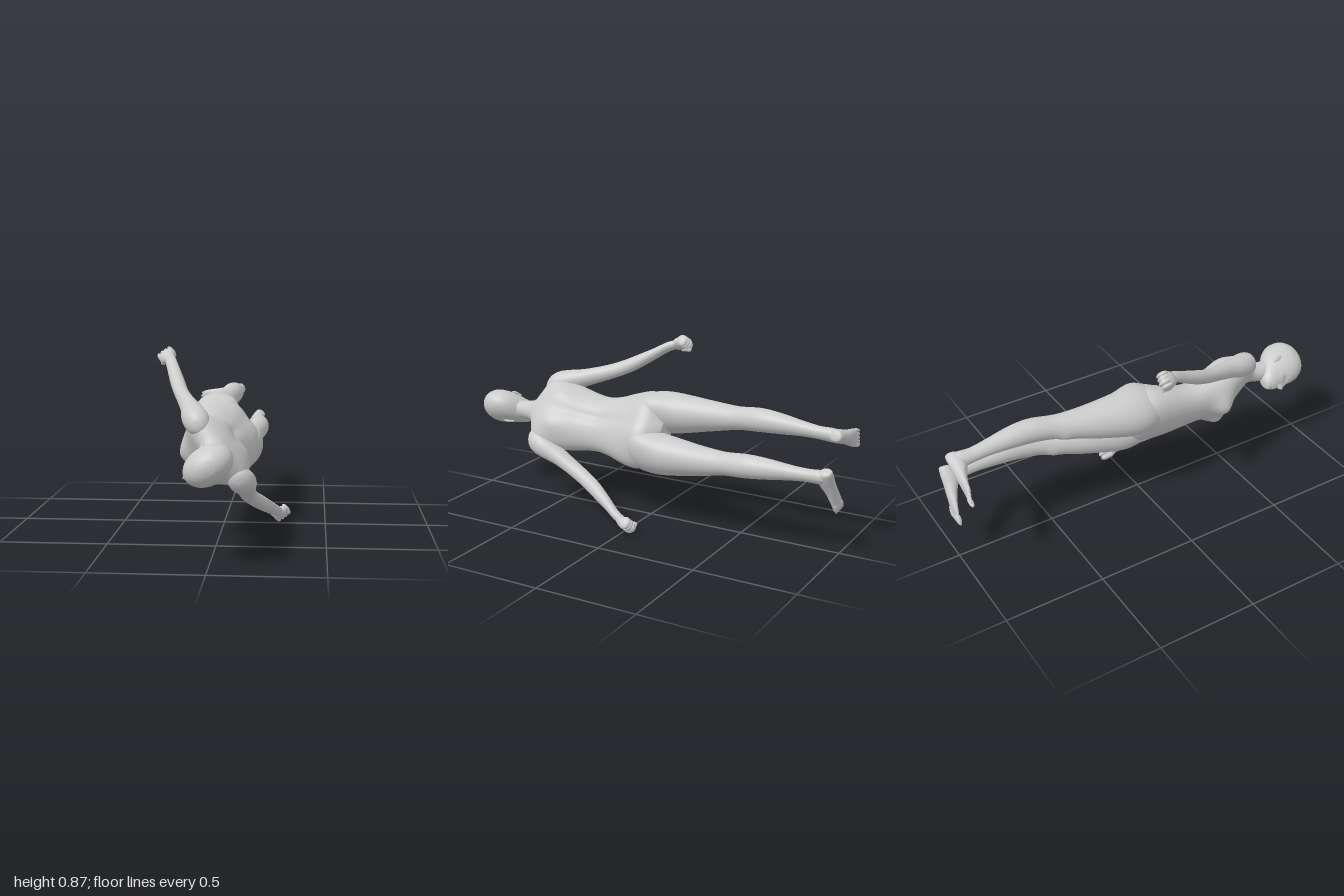
import * as THREE from 'three';

const material = new THREE.MeshStandardMaterial({ color: 0xcccccc, side: THREE.DoubleSide });

// Smooth skin through elliptical rings [x, y, z, halfWidth, halfDepth], listed by rising y.
// Bumps [x, y, side, amount, widthX, widthY] push the front (+1) or back (-1) in or out.
function loft(name, rings, bumps = [], steps = 6, sides = 40) {
  const centre = new THREE.CatmullRomCurve3(rings.map(r => new THREE.Vector3(r[0], r[1], r[2])), false, 'catmullrom');
  const size = new THREE.CatmullRomCurve3(rings.map(r => new THREE.Vector3(r[3], r[4], 0)), false, 'catmullrom');
  const n = (rings.length - 1) * steps;
  const pos = [], index = [];
  for (let i = 0; i <= n; i++) {
    const c = centre.getPoint(i / n), s = size.getPoint(i / n);
    for (let j = 0; j < sides; j++) {
      const t = (j / sides) * Math.PI * 2;
      const x = c.x + s.x * Math.cos(t);
      let z = c.z + s.y * Math.sin(t);
      for (const [bx, by, side, amount, wx, wy] of bumps) {
        const facing = Math.max(0, side * Math.sin(t)) ** 0.7;
        z += side * amount * facing * Math.exp(-(((x - bx) / wx) ** 2) - ((c.y - by) / wy) ** 2);
      }
      pos.push(x, c.y, z);
      if (i < n) {
        const a = i * sides + j, b = i * sides + (j + 1) % sides;
        index.push(a, a + sides, b, b, a + sides, b + sides);
      }
    }
  }
  // end caps
  const low = pos.length / 3, high = low + 1, last = n * sides;
  pos.push(...rings[0].slice(0, 3), ...rings[rings.length - 1].slice(0, 3));
  for (let j = 0; j < sides; j++) {
    const k = (j + 1) % sides;
    index.push(low, j, k, high, last + k, last + j);
  }
  const geo = new THREE.BufferGeometry();
  geo.setAttribute('position', new THREE.Float32BufferAttribute(pos, 3));
  geo.setIndex(index);
  geo.computeVertexNormals();
  const mesh = new THREE.Mesh(geo, material);
  mesh.name = name;
  return mesh;
}

function ellipsoid(name, x, y, z, rx, ry, rz) {
  const mesh = new THREE.Mesh(new THREE.SphereGeometry(1, 24, 16), material);
  mesh.name = name;
  mesh.position.set(x, y, z);
  mesh.scale.set(rx, ry, rz);
  return mesh;
}

const mirrored = (x, ...rest) => [[x, ...rest], [-x, ...rest]];
const buttocks = mirrored(0.085, 0.0, -1, 0.024, 0.08, 0.08);

function makeTorso() {
  return loft('torso', [
    [0, -0.10, -0.03, 0.04, 0.05], [0, -0.07, -0.02, 0.11, 0.085], [0, -0.03, -0.012, 0.18, 0.114],
    [0, 0.03, -0.005, 0.201, 0.125], [0, 0.12, 0.009, 0.184, 0.116], [0, 0.20, 0.02, 0.159, 0.104],
    [0, 0.28, 0.025, 0.145, 0.097], [0, 0.36, 0.018, 0.153, 0.101], [0, 0.45, 0.003, 0.172, 0.108],
    [0, 0.53, -0.014, 0.188, 0.102], [0, 0.585, -0.024, 0.194, 0.086], [0, 0.625, -0.027, 0.172, 0.07],
    [0, 0.65, -0.026, 0.12, 0.058], [0, 0.675, -0.02, 0.068, 0.051], [0, 0.71, -0.008, 0.051, 0.049],
    [0, 0.76, 0, 0.047, 0.05], [0, 0.82, 0.005, 0.044, 0.05],
  ], [
    ...buttocks,
    ...mirrored(0.085, 0.43, 1, 0.053, 0.062, 0.058), // breasts
    [0, 0.44, 1, 0.018, 0.06, 0.07], // breastbone
    ...mirrored(0.09, 0.5, -1, 0.016, 0.05, 0.07), // shoulder blades
    [0, 0.33, -1, -0.014, 0.025, 0.2], // spine
    [0, 0.15, 1, -0.006, 0.012, 0.014], // navel
  ], 6, 64);
}

function makeHead() {
  const head = new THREE.Group();
  head.name = 'head';
  head.add(loft('skull', [
    [0, 0.732, 0.068, 0.016, 0.018], [0, 0.742, 0.06, 0.034, 0.04], [0, 0.77, 0.042, 0.054, 0.068],
    [0, 0.81, 0.016, 0.067, 0.095], [0, 0.85, 0.003, 0.076, 0.11], [0, 0.89, -0.001, 0.081, 0.114],
    [0, 0.93, -0.004, 0.079, 0.107], [0, 0.968, -0.004, 0.062, 0.083], [0, 0.99, -0.004, 0.037, 0.049],
    [0, 0.999, -0.004, 0.012, 0.015],
  ], [
    [0, 0.81, 1, 0.021, 0.013, 0.014], [0, 0.833, 1, 0.01, 0.011, 0.024], // nose
    ...mirrored(0.034, 0.848, 1, -0.01, 0.02, 0.014), // eye sockets
    [0, 0.782, 1, 0.007, 0.024, 0.007], [0, 0.769, 1, 0.006, 0.02, 0.006], // lips
    [0, 0.746, 1, 0.006, 0.02, 0.011], // chin
  ], 8, 72));
  for (const side of [1, -1]) {
    const ear = new THREE.Group();
    ear.name = 'ear';
    ear.add(
      ellipsoid('earShell', 0, 0.004, 0, 0.006, 0.024, 0.015),
      ellipsoid('earLobe', -side * 0.002, -0.02, 0.004, 0.005, 0.01, 0.008));
    ear.position.set(side * 0.076, 0.838, -0.008);
    ear.rotation.set(-0.2, -side * 0.35, 0);
    head.add(ear);
  }
  head.rotation.y = -0.1;
  return head;
}

function makeArm(side) {
  const arm = new THREE.Group();
  arm.name = side > 0 ? 'leftArm' : 'rightArm';
  // the left arm swings slightly forward, the right slightly back
  const swing = side * 0.014;
  arm.add(loft('armSkin', [
    [0.468, 0.0, swing, 0.02, 0.026], [0.446, 0.05, swing, 0.026, 0.028], [0.398, 0.12, 0.006 + swing, 0.032, 0.031],
    [0.347, 0.20, 0.012 + swing, 0.04, 0.034], [0.302, 0.28, 0.014 + swing, 0.041, 0.034],
    [0.262, 0.36, 0.008 + swing, 0.042, 0.037], [0.216, 0.46, -0.01 + swing / 2, 0.048, 0.046],
    [0.184, 0.54, -0.022, 0.06, 0.058], [0.166, 0.59, -0.026, 0.063, 0.059], [0.153, 0.625, -0.027, 0.055, 0.049],
    [0.145, 0.645, -0.027, 0.032, 0.03], [0.14, 0.652, -0.027, 0.01, 0.01],
  ].map(([x, ...r]) => [side * x, ...r])));

  // fist: palm, four curled fingers and a thumb
  const hand = new THREE.Group();
  hand.name = 'hand';
  hand.position.set(side * 0.481, -0.014, 0.002 + swing / 2);
  hand.rotation.z = side * 0.45;
  hand.add(ellipsoid('palm', 0, 0.004, 0, 0.028, 0.049, 0.042));
  for (let i = 0; i < 4; i++) {
    const y = -0.022 + 0.004 * Math.abs(i - 1);
    hand.add(ellipsoid('finger', -side * 0.005, y, 0.031 - i * 0.02, 0.031, 0.029, 0.0145));
  }
  const thumb = new THREE.Mesh(new THREE.CapsuleGeometry(0.012, 0.036, 6, 12), material);
  thumb.name = 'thumb';
  thumb.position.set(-side * 0.022, -0.008, 0.035);
  thumb.rotation.z = -side * 0.4;
  hand.add(thumb);
  arm.add(hand);
  return arm;
}

function makeLeg(side) {
  const leg = new THREE.Group();
  leg.name = side > 0 ? 'leftLeg' : 'rightLeg';
  leg.add(loft('legSkin', [
    [0.1, -0.98, -0.072, 0.026, 0.034], [0.102, -0.94, -0.072, 0.032, 0.039], [0.104, -0.88, -0.073, 0.03, 0.035],
    [0.108, -0.80, -0.08, 0.035, 0.039], [0.113, -0.68, -0.087, 0.049, 0.052], [0.116, -0.58, -0.084, 0.056, 0.058],
    [0.116, -0.48, -0.066, 0.055, 0.058], [0.116, -0.42, -0.052, 0.06, 0.064], [0.115, -0.30, -0.03, 0.075, 0.084],
    [0.111, -0.15, -0.012, 0.095, 0.109], [0.107, -0.07, -0.008, 0.101, 0.12], [0.1, 0, -0.006, 0.098, 0.114],
    [0.09, 0.06, -0.003, 0.08, 0.09], [0.08, 0.1, 0, 0.03, 0.03],
  ].map(([x, ...r]) => [side * x, ...r]), [
    ...buttocks,
    [side * 0.115, -0.44, 1, 0.008, 0.035, 0.035], // kneecap
  ]));

  // foot, lofted from heel to ball and turned outward
  const foot = new THREE.Group();
  foot.name = 'foot';
  foot.position.set(side * 0.1, -1, -0.072);
  foot.rotation.y = side * 0.36;
  const sole = loft('footSkin', [
    [0, -0.045, -0.022, 0.012, 0.014], [0, -0.035, -0.032, 0.026, 0.03], [0, 0, -0.042, 0.032, 0.042],
    [0, 0.04, -0.038, 0.033, 0.037], [0, 0.09, -0.026, 0.035, 0.026], [0, 0.145, -0.017, 0.042, 0.016],
    [0, 0.185, -0.013, 0.044, 0.011], [0, 0.202, -0.011, 0.03, 0.007],
  ]);
  sole.rotation.x = Math.PI / 2;
  foot.add(sole);
  for (let i = 0; i < 5; i++) {
    const r = i ? 0.009 : 0.013;
    foot.add(ellipsoid('toe', -side * (0.031 - i * 0.0165), r * 0.9, 0.212 - i * 0.009, r, r * 0.9, 0.03));
  }
  leg.add(foot);
  return leg;
}

export function createModel() {
  const body = new THREE.Group();
  body.name = 'body';
  body.add(makeTorso(), makeHead());
  for (const side of [1, -1]) body.add(makeArm(side), makeLeg(side));

  // the figure floats lengthwise along z, rolled part way onto its front
  const basis = new THREE.Matrix4().makeBasis(
    new THREE.Vector3(0.6, -0.8, 0), new THREE.Vector3(0, 0, 1), new THREE.Vector3(-0.8, -0.6, 0));
  body.quaternion.setFromRotationMatrix(basis);
  const model = new THREE.Group();
  model.name = 'figure';
  model.add(body);
  model.updateMatrixWorld(true);
  body.position.y = -new THREE.Box3().setFromObject(model, true).min.y;
  return model;
}
